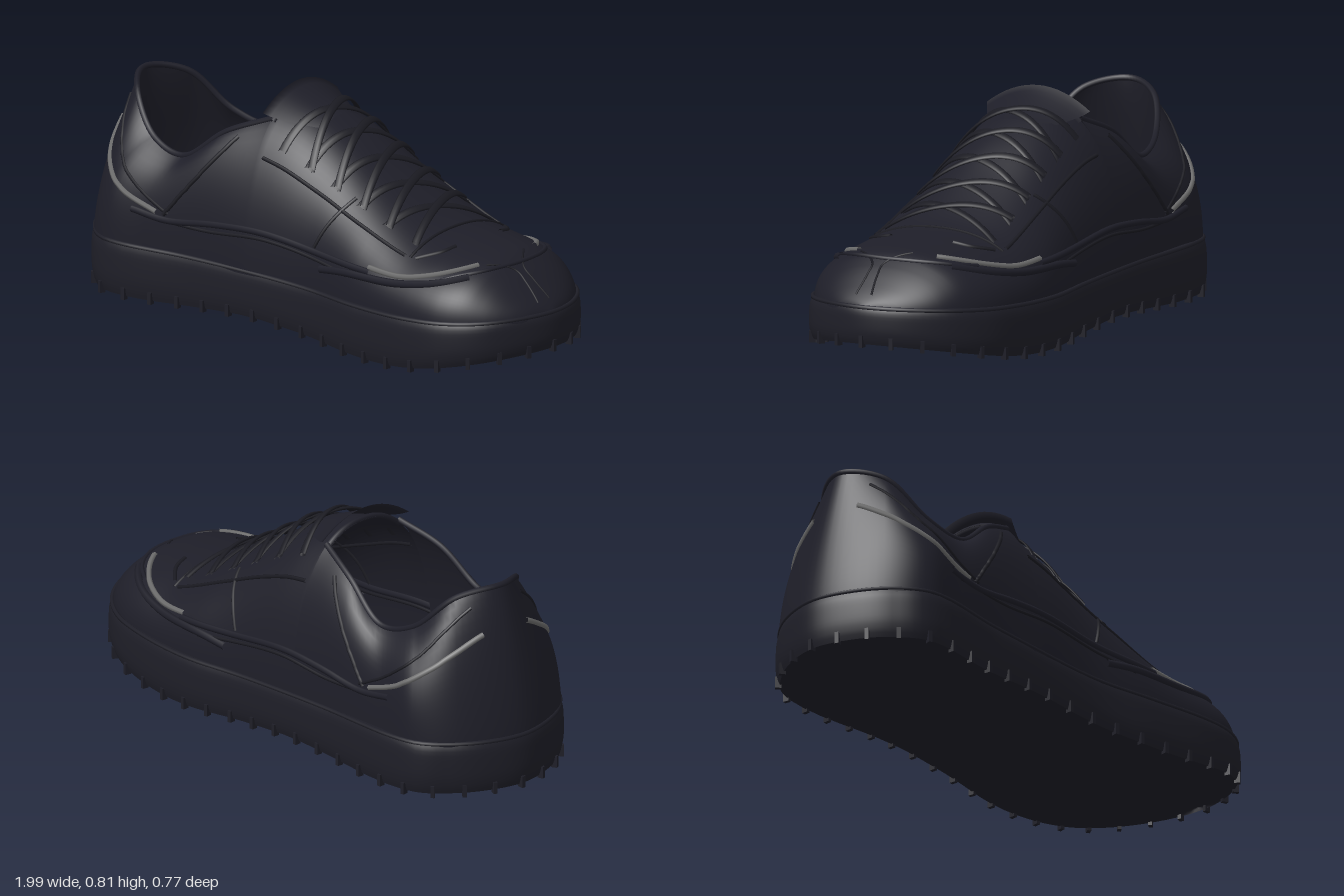
import * as THREE from 'three';
import { ParametricGeometry } from 'three/addons/geometries/ParametricGeometry.js';

const V3 = (x, y, z) => new THREE.Vector3(x, y, z);
const mat = (name, color) => new THREE.MeshStandardMaterial({ name, color, side: THREE.DoubleSide });
const lerp = THREE.MathUtils.lerp;

// smooth function y(x) through points of ascending x
function smooth(points) {
  const s = new THREE.SplineCurve(points.map(p => new THREE.Vector2(...p))).getPoints(240);
  return x => {
    if (x <= s[0].x) return s[0].y;
    for (let i = 1; i < s.length; i++) {
      if (s[i].x >= x) return lerp(s[i - 1].y, s[i].y, (x - s[i - 1].x) / (s[i].x - s[i - 1].x || 1));
    }
    return s[s.length - 1].y;
  };
}

// sole outline (x, z) and its underside height
const outline = new THREE.CatmullRomCurve3([
  [0.99, 0.04], [0.965, -0.1], [0.875, -0.24], [0.75, -0.327], [0.6, -0.366], [0.35, -0.385], [0.1, -0.365],
  [-0.3, -0.36], [-0.78, -0.352], [-0.885, -0.27], [-0.955, -0.16], [-0.99, -0.02], [-0.955, 0.13], [-0.885, 0.25],
  [-0.77, 0.338], [-0.4, 0.315], [0.1, 0.312], [0.35, 0.355], [0.6, 0.38], [0.75, 0.362], [0.875, 0.29], [0.955, 0.17],
].map(([x, z]) => V3(x, 0, z)), true);
const soleBottom = smooth([[-1, 0.03], [-0.6, 0.022], [-0.2, 0.04], [0, 0.032], [0.3, 0.013], [0.5, 0.013], [0.7, 0.035], [1, 0.092]]);
const soleTop = smooth([[-1, 0.215], [-0.3, 0.208], [0.3, 0.195], [0.7, 0.205], [1, 0.222]]);
const soleInset = smooth([[0, 0.012], [0.12, 0.005], [0.35, 0], [0.7, 0.001], [0.88, 0.005], [1, 0.013]]);
const solePoint = (u, v) => {
  const p = outline.getPoint(u % 1), d = soleInset(v);
  return V3(p.x * (1 - d), lerp(soleBottom(p.x), soleTop(p.x), v), p.z * (1 - d / 0.36));
};

// forefoot: arched sections along x
const BASE = 0.19, JOIN = -0.17, N = 2.2;
const leftEdge = smooth([[JOIN, 0.303], [0.1, 0.298], [0.35, 0.335], [0.6, 0.358], [0.75, 0.343], [0.87, 0.275], [0.95, 0.17], [0.982, 0.04]]);
const rightEdge = smooth([[JOIN, -0.346], [0.1, -0.348], [0.35, -0.365], [0.6, -0.348], [0.75, -0.308], [0.87, -0.225], [0.95, -0.1], [0.982, 0.035]]);
const crest = smooth([[JOIN, 0.76], [-0.05, 0.73], [0.1, 0.655], [0.25, 0.56], [0.4, 0.475], [0.52, 0.425],
  [0.65, 0.405], [0.78, 0.385], [0.85, 0.345], [0.92, 0.285], [0.96, 0.245], [0.982, 0.215]]);
const section = x => ({ c: (leftEdge(x) + rightEdge(x)) / 2, w: (leftEdge(x) - rightEdge(x)) / 2, h: crest(x) - BASE });
const arch = q => Math.pow(Math.max(0, 1 - Math.pow(Math.min(1, Math.abs(q)), N)), 1 / N);
const topY = (x, z) => { const s = section(x); return BASE + s.h * arch((z - s.c) / Math.max(s.w, 0.001)); };

// heel quarter: walls rising from the foot line to the collar
const foot = new THREE.CatmullRomCurve3([
  [JOIN, 0.303], [-0.4, 0.306], [-0.6, 0.319], [-0.77, 0.327], [-0.895, 0.225], [-0.977, -0.01],
  [-0.895, -0.245], [-0.77, -0.342], [-0.6, -0.346], [-0.4, -0.346], [JOIN, -0.346],
].map(([x, z]) => V3(x, BASE, z)));
const collar = new THREE.CatmullRomCurve3([
  [JOIN, 0.71, 0.145], [-0.33, 0.645, 0.195], [-0.5, 0.53, 0.22], [-0.65, 0.565, 0.2], [-0.78, 0.69, 0.13], [-0.86, 0.725, -0.01],
  [-0.78, 0.69, -0.15], [-0.65, 0.565, -0.22], [-0.5, 0.53, -0.24], [-0.33, 0.645, -0.225], [JOIN, 0.71, -0.188],
].map(p => V3(...p)));
function heelPoint(t, v) {
  const a = foot.getPoint(t), b = collar.getPoint(t), k = Math.abs(2 * t - 1);
  // the heel back leans evenly, its corners and sides bulge
  const bulge = Math.pow((1 - arch(0.8966 * v)) / 0.5045, 1 + 0.25 * Math.sin(k * Math.PI));
  const f = lerp(Math.pow(v, 1.35), bulge, THREE.MathUtils.smoothstep(k, 0.03, 0.45));
  return V3(lerp(a.x, b.x, f), lerp(a.y, b.y, v), lerp(a.z, b.z, f));
}

// point of the upper at side-view position x, y (side +1 left, -1 right)
function onSide(x, y, side) {
  if (x >= JOIN) {
    const s = section(x);
    return V3(x, y, s.c + side * s.w * arch((y - BASE) / s.h));
  }
  let best, err = Infinity;
  for (let i = 0; i <= 400; i++) {
    const t = side > 0 ? i / 800 : 1 - i / 800;
    const v = Math.min(1, (y - BASE) / (collar.getPoint(t).y - BASE));
    const p = heelPoint(t, v), e = Math.abs(p.x - x) + Math.abs(p.y - y);
    if (e < err) { err = e; best = p; }
  }
  return best;
}

export function createModel() {
  const group = new THREE.Group();
  const upperMat = mat('midnight upper', 0x1e1e28);
  const soleMat = mat('midnight sole', 0x1e1e27);
  const laceMat = mat('black trim', 0x1a1a21);
  const stripeMat = mat('grey reflective', 0x6c6c6c);
  const add = (name, geo, m) => {
    const mesh = new THREE.Mesh(geo, m);
    mesh.name = name;
    group.add(mesh);
    return mesh;
  };
  const surface = (name, fn, m, nu, nv) =>
    add(name, new ParametricGeometry((u, v, out) => out.copy(fn(u, v)), nu, nv), m);
  const tube = (name, pts, r, m, closed = false) =>
    add(name, new THREE.TubeGeometry(new THREE.CatmullRomCurve3(pts, closed), pts.length * 2, r, 6, closed), m);
  const spread = (pts, n = 24) => new THREE.SplineCurve(pts.map(p => new THREE.Vector2(...p))).getPoints(n);
  const sideLine = (name, pts, r, m) => [1, -1].forEach(side =>
    tube(name, spread(pts).map(p => onSide(p.x, p.y, side)), r, m));
  const topLine = (name, pts, r, m) =>
    tube(name, spread(pts).map(p => V3(p.x, topY(p.x, p.y), p.y)), r, m);

  // sole, with a slightly hollow underside
  surface('soleSidewall', solePoint, soleMat, 120, 12);
  surface('soleUnderside', (u, v) => {
    const p = solePoint(u, 0);
    return V3(p.x, p.y + 0.016 * (1 - v * v), p.z * v);
  }, soleMat, 120, 6);
  surface('insole', (u, v) => {
    const p = solePoint(u, 1);
    return V3(p.x, p.y, p.z * (1 - v));
  }, soleMat, 120, 2);
  tube('soleTopSeam', Array.from({ length: 80 }, (_, i) => solePoint(i / 80, 0.97)), 0.008, soleMat, true);

  // lugs around the sole edge
  const lugs = 44;
  for (let i = 0; i < lugs; i++) {
    const u = i / lugs, p = outline.getPointAt(u), tan = outline.getTangentAt(u);
    const lug = add('lug', new THREE.BoxGeometry(0.014, 0.042, 0.022), soleMat);
    lug.position.set(p.x * 0.992, soleBottom(p.x) + 0.01, p.z * 0.978);
    lug.rotation.y = Math.atan2(-tan.z, tan.x);
  }

  // upper
  surface('forefoot', (u, v) => {
    const x = lerp(JOIN - 0.012, 0.982, Math.sin(v * Math.PI / 2)), s = section(x), a = u * Math.PI;
    const c = Math.cos(a);
    return V3(x, BASE + s.h * Math.pow(Math.max(0, Math.sin(a)), 2 / N),
      s.c - s.w * Math.sign(c) * Math.pow(Math.abs(c), 2 / N));
  }, upperMat, 48, 60);
  surface('heelQuarter', (u, v) => heelPoint(1 - u, v), upperMat, 80, 16);
  surface('heelLining', (u, v) => {
    const p = heelPoint(u, v), d = 0.025 * (1 - Math.pow(v, 6));
    const k = 1 - d / Math.hypot(p.x + 0.45, p.z + 0.02);
    return V3(-0.45 + (p.x + 0.45) * k, p.y, -0.02 + (p.z + 0.02) * k);
  }, upperMat, 80, 12);
  tube('collarRim', collar.getPoints(60), 0.011, upperMat);

  // tongue flap lifting off the instep
  surface('tongue', (u, v) => {
    const x = lerp(-0.185, 0.0, v), q = u * 2 - 1;
    return V3(x, lerp(0.808, 0.72, Math.pow(v, 0.8)) - lerp(0.075, 0.03, v) * q * q, -0.02 + q * lerp(0.2, 0.1, v));
  }, upperMat, 16, 8);
  topLine('instepEdge', [[JOIN, -0.19], [JOIN, -0.02], [JOIN, 0.145]], 0.011, upperMat);

  // overlays and seams
  sideLine('mudguardEdge', [[-0.65, 0.335], [-0.5, 0.318], [-0.3, 0.34], [-0.1, 0.348], [0.15, 0.325], [0.4, 0.31]], 0.012, upperMat);
  sideLine('lowerSeam', [[-0.6, 0.32], [-0.35, 0.31], [-0.1, 0.325], [0.15, 0.3], [0.3, 0.28]], 0.006, laceMat);
  sideLine('toeGuardSide', [[0.17, 0.275], [0.3, 0.29], [0.5, 0.295], [0.65, 0.315], [0.77, 0.345]], 0.014, upperMat);
  sideLine('quarterSeam', [[-0.27, 0.64], [-0.4, 0.48], [-0.52, 0.335]], 0.008, laceMat);
  sideLine('vampSeam', [[0.23, 0.51], [0.17, 0.42], [0.13, 0.34]], 0.007, laceMat);
  sideLine('heelSeam', [[-0.83, 0.66], [-0.74, 0.5], [-0.62, 0.4], [-0.5, 0.34]], 0.006, laceMat);
  topLine('toeGuardLip', [[0.68, -0.25], [0.76, -0.19], [0.81, -0.1], [0.825, 0.02], [0.81, 0.13], [0.77, 0.21], [0.68, 0.29]], 0.008, upperMat);
  topLine('eyestayEdge', [[-0.15, -0.265], [0.1, -0.262], [0.3, -0.262], [0.5, -0.26]], 0.007, laceMat);
  topLine('eyestayEdge', [[-0.15, 0.222], [0.1, 0.222], [0.3, 0.235], [0.5, 0.245]], 0.007, laceMat);
  topLine('eyestayFront', [[0.52, -0.26], [0.52, 0], [0.52, 0.245]], 0.006, laceMat);
  [-1, 1].forEach(s => {
    topLine('toeSeam', [[0.78, 0.05 + s * 0.1], [0.84, 0.05 + s * 0.025], [0.89, 0.05 + s * 0.02], [0.95, 0.05 + s * 0.03]], 0.004, laceMat);
    topLine('vampCrease', [[0.54, s * 0.24], [0.6, s * 0.18], [0.62, s * 0.12]], 0.008, laceMat);
  });

  // reflective piping
  sideLine('heelPiping', [[-0.875, 0.57], [-0.8, 0.47], [-0.68, 0.385], [-0.55, 0.34]], 0.01, stripeMat);
  sideLine('toePiping', [[0.39, 0.325], [0.52, 0.318], [0.64, 0.338], [0.76, 0.372]], 0.01, stripeMat);

  // criss-cross flat laces lying along the slope of the instep
  for (let i = 0; i < 5; i++) {
    [-1, 1].forEach(side => surface('lace', (u, v) => {
      const q = u * 2 - 1, a = side * v * Math.PI * 2;
      const x = -0.02 + i * 0.115 + q * 0.065, z = -0.012 + side * q * 0.21;
      const slope = Math.atan2(topY(x + 0.02, z) - topY(x - 0.02, z), 0.04);
      const w = 0.016 * Math.cos(a), t = 0.006 * Math.sin(a);
      return V3(x + w * Math.cos(slope) - t * Math.sin(slope),
        topY(x, z) + 0.006 + 0.024 * (1 - q * q) + side * 0.005 + w * Math.sin(slope) + t * Math.cos(slope), z);
    }, laceMat, 24, 8));
  }

  return group;
}
